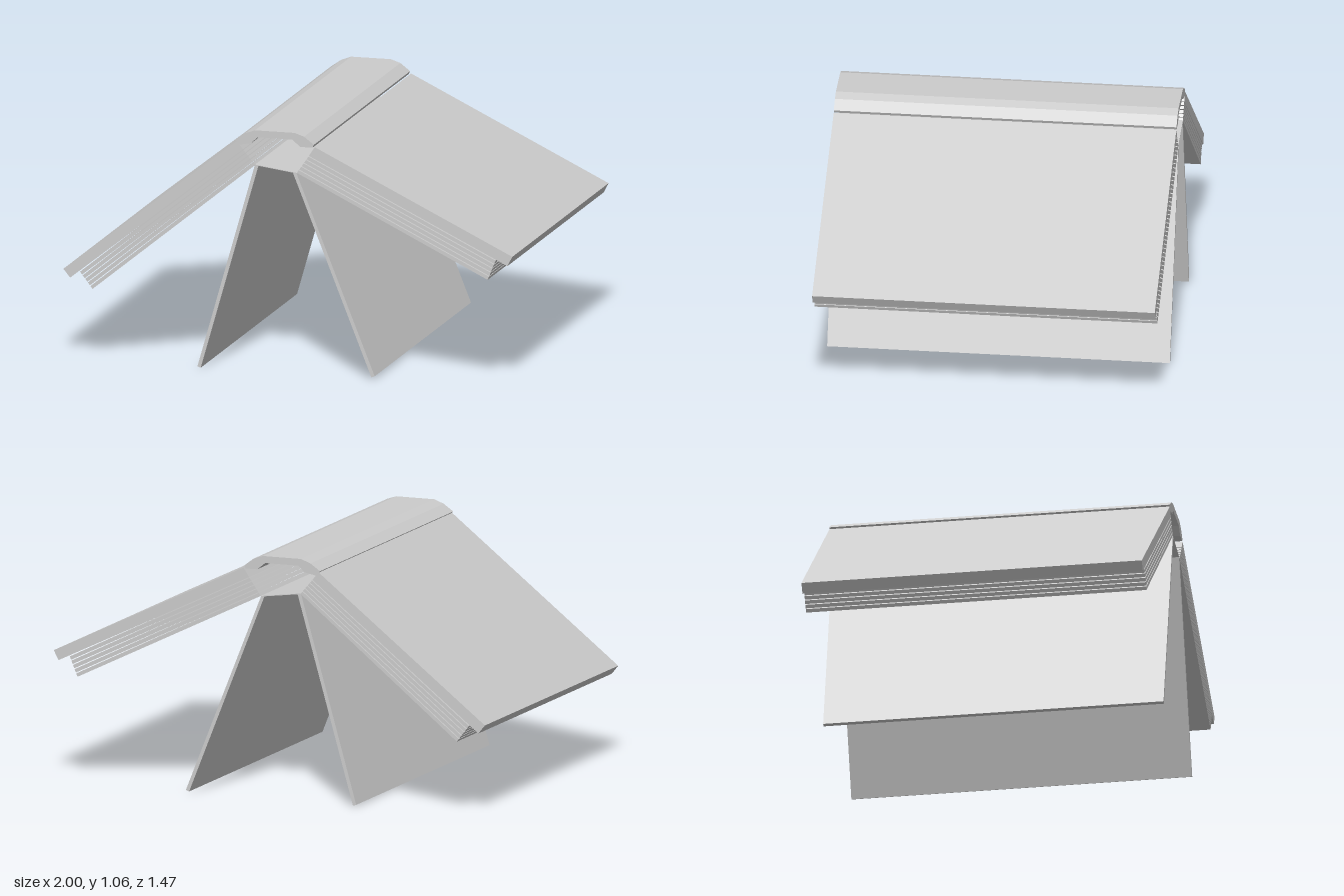
import * as THREE from 'three';

const DEPTH = 1.474;
const material = new THREE.MeshStandardMaterial({ color: 0xcccccc, flatShading: true, side: THREE.DoubleSide });

// Prism running along z from an outline in the x-y plane
function prism(name, outline) {
  const shape = new THREE.Shape(outline.map(([x, y]) => new THREE.Vector2(x, y)));
  const geometry = new THREE.ExtrudeGeometry(shape, { depth: DEPTH, bevelEnabled: false });
  geometry.translate(0, 0, -DEPTH / 2);
  const mesh = new THREE.Mesh(geometry, material);
  mesh.name = name;
  return mesh;
}

const mix = (a, b, t) => [a[0] + (b[0] - a[0]) * t, a[1] + (b[1] - a[1]) * t];

// Stack of separate pages between an inner (spine) edge and an outer edge
function pageStack(name, innerTop, innerBottom, outerTop, outerBottom, count = 5) {
  const stack = new THREE.Group();
  stack.name = name;
  const gap = 0.2; // share of each step left open above the page
  for (let i = 0; i < count; i++) {
    const t0 = (i + gap) / count, t1 = (i + 1) / count;
    stack.add(prism('page', [
      mix(innerTop, innerBottom, t0), mix(outerTop, outerBottom, t0),
      mix(outerTop, outerBottom, t1), mix(innerTop, innerBottom, t1),
    ]));
  }
  return stack;
}

export function createModel() {
  const book = new THREE.Group();
  book.name = 'openBook';

  // Covers
  book.add(prism('rightCover', [[-0.228, 1.005], [-1, 0.395], [-0.97, 0.358], [-0.2, 0.97]]));
  book.add(prism('leftCover', [[0.12, 1.0], [1, 0.575], [0.978, 0.533], [0.094, 0.96]]));

  // Spine with rounded shoulders
  book.add(prism('spine', [
    [-0.235, 1.01], [-0.19, 1.041], [-0.147, 1.057], [0.03, 1.057], [0.072, 1.043], [0.116, 1.01],
    [0.11, 0.997], [0.056, 0.997], [0.019, 1.027], [-0.136, 1.027], [-0.163, 1.0], [-0.215, 0.99],
  ]));

  // Page stacks under each cover
  book.add(pageStack('rightPages', [-0.2, 0.97], [-0.145, 0.905], [-0.928, 0.39], [-0.87, 0.315]));
  book.add(pageStack('leftPages', [0.094, 0.96], [0.04, 0.882], [0.927, 0.557], [0.89, 0.467]));

  // Thin sheet bridging the two stacks
  book.add(prism('bindingSheet', [[-0.146, 0.907], [0.042, 0.882], [0.042, 0.879], [-0.146, 0.904]]));

  // Two loose leaves hanging down
  book.add(prism('rightLeaf', [[-0.147, 0.905], [-0.131, 0.903], [-0.388, 0], [-0.403, 0.005]]));
  book.add(prism('leftLeaf', [[0.022, 0.883], [0.038, 0.882], [0.387, 0.012], [0.372, 0.006]]));

  return book;
}
